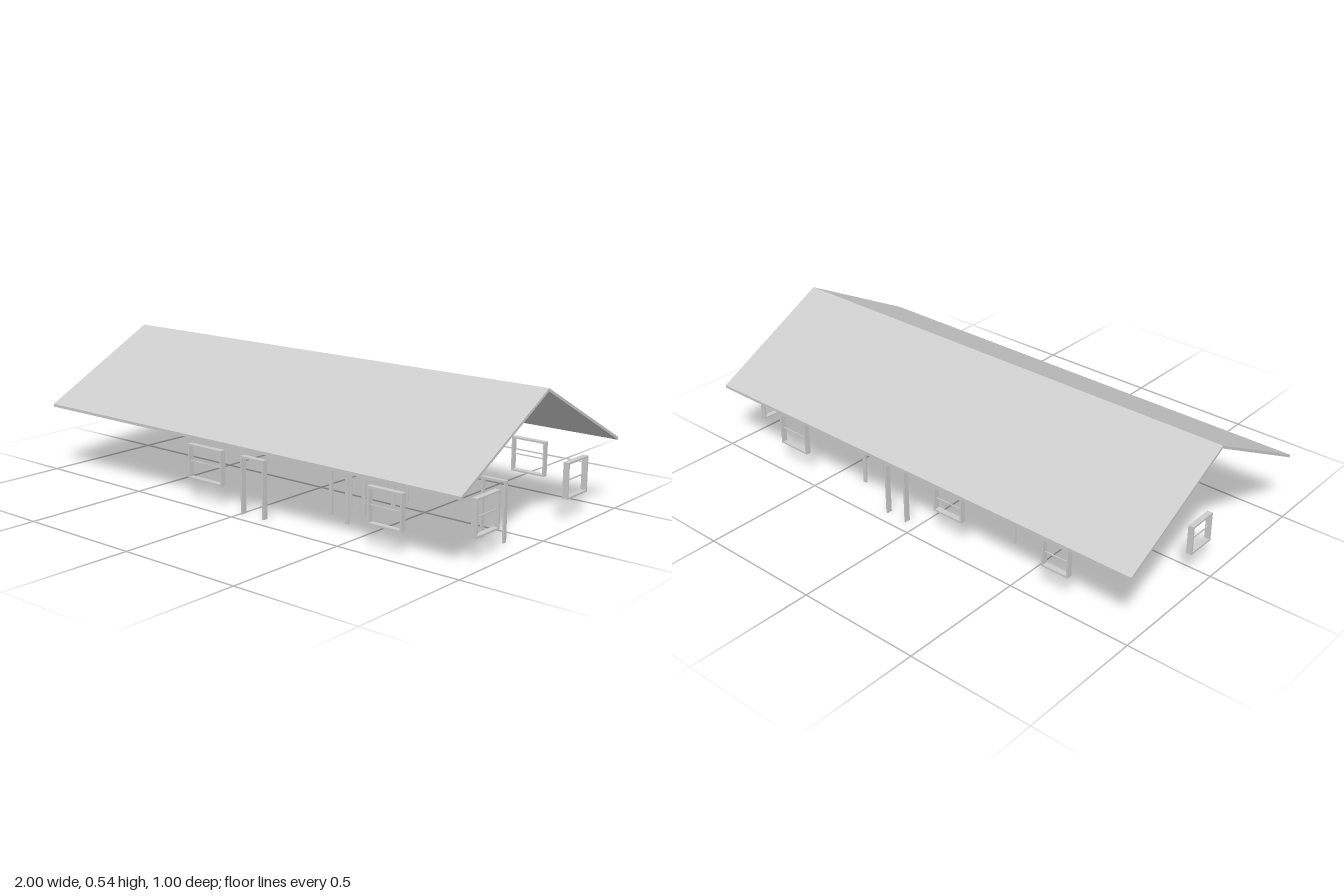
import * as THREE from 'three';

const grey = new THREE.MeshStandardMaterial({ color: 0xcccccc });
grey.name = 'light grey';

const BORDER = 0.007; // width of every frame member
const HEAD = 0.22;    // common top of doors and windows
const OUTER = 0.022;  // depth of frames in the outside walls
const INNER = 0.016;  // depth of frames in the inside walls

function polygon(points) {
  return new THREE.Shape(points.map(([x, y]) => new THREE.Vector2(x, y)));
}

// Extrudes a shape, centred on its own plane
function slab(shape, depth, name) {
  const geometry = new THREE.ExtrudeGeometry(shape, { depth, bevelEnabled: false });
  geometry.translate(0, 0, -depth / 2);
  const mesh = new THREE.Mesh(geometry, grey);
  mesh.name = name;
  return mesh;
}

// Upside-down U, open at the floor
function doorFrame(a, b, depth) {
  const i = a + BORDER, j = b - BORDER, t = HEAD - BORDER;
  return slab(polygon([[a, 0], [i, 0], [i, t], [j, t], [j, 0], [b, 0], [b, HEAD], [a, HEAD]]), depth, 'doorFrame');
}

// Rectangular frame with a thin bar across the middle
function windowFrame(a, b, sill) {
  const shape = polygon([[a, sill], [b, sill], [b, HEAD], [a, HEAD]]);
  const i = a + BORDER, j = b - BORDER, s = sill + BORDER, t = HEAD - BORDER;
  shape.holes.push(polygon([[i, s], [i, t], [j, t], [j, s]]));
  const group = new THREE.Group();
  group.name = 'window';
  const bar = new THREE.Mesh(new THREE.BoxGeometry(j - i, 0.004, 0.004), grey);
  bar.name = 'windowBar';
  bar.position.set((a + b) / 2, (sill + HEAD) / 2, 0);
  group.add(slab(shape, OUTER, 'windowFrame'), bar);
  return group;
}

export function createModel() {
  const model = new THREE.Group();
  model.name = 'house';

  // Place a part in a wall across z, or in a wall across x (where its width runs along z)
  const acrossZ = (part, z) => { part.position.z = z; model.add(part); };
  const acrossX = (part, x) => { part.position.x = x; part.rotation.y = -Math.PI / 2; model.add(part); };

  // Gable roof: a thin bent sheet running the full length
  const roof = slab(polygon([
    [-0.5, 0.261], [0, 0.524], [0.5, 0.261], [0.5, 0.272], [0, 0.535], [-0.5, 0.272],
  ]), 2, 'roof');
  acrossX(roof, 0);

  // Windows of the front and back walls: [x from, x to, sill, z]
  for (const [a, b, sill, z] of [
    [-0.27, -0.095, 0.085, 0.442],
    [0.59, 0.735, 0.085, 0.442],
    [0.59, 0.735, 0.085, -0.442],
    [-0.23, -0.095, 0.117, -0.442],
    [-0.712, -0.598, 0.105, -0.442],
  ]) acrossZ(windowFrame(a, b, sill), z);

  // Windows of the end walls: [z from, z to, sill, x]
  for (const [a, b, sill, x] of [
    [0.204, 0.34, 0.084, 0.943],
    [-0.37, -0.233, 0.084, 0.943],
    [-0.064, 0.057, 0.104, -0.943],
  ]) acrossX(windowFrame(a, b, sill), x);

  // Front door, back door and one inside door: [x from, x to, z, depth]
  for (const [a, b, z, depth] of [
    [0.003, 0.115, 0.442, OUTER],
    [0.051, 0.153, -0.442, OUTER],
    [0.813, 0.911, 0.101, INNER],
  ]) acrossZ(doorFrame(a, b, depth), z);

  // Inside doors along the hallways: [z from, z to, x]
  for (const [a, b, x] of [
    [0.191, 0.293, 0.37],
    [-0.064, 0.025, 0.37],
    [-0.353, -0.251, 0.37],
    [0.123, 0.24, 0.25],
    [-0.195, -0.087, 0.25],
    [-0.294, -0.188, -0.343],
  ]) acrossX(doorFrame(a, b, INNER), x);

  return model;
}
